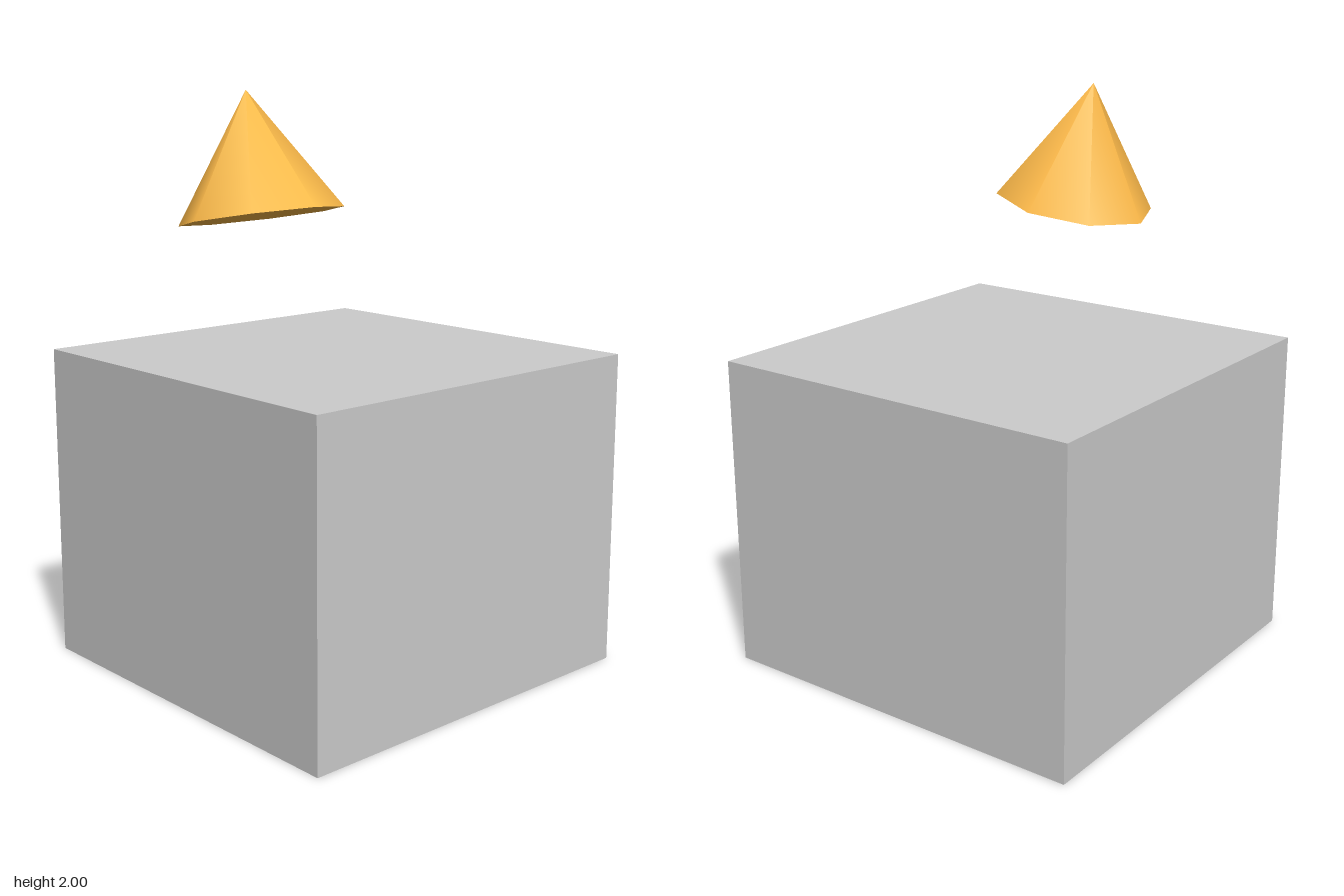
import * as THREE from 'three';

export function createModel() {
  const model = new THREE.Group();

  // Large block standing on the ground
  const block = new THREE.Mesh(
    new THREE.BoxGeometry(1.385, 1.108, 1.385),
    new THREE.MeshStandardMaterial({ color: 0xcccccc })
  );
  block.name = 'block';
  block.position.y = 0.554;
  model.add(block);

  // Eight-sided cone floating above the block, tipped towards the back
  const cone = new THREE.Mesh(
    new THREE.ConeGeometry(0.277, 0.416, 8),
    new THREE.MeshStandardMaterial({ color: 0xffbb4a })
  );
  cone.name = 'floatingCone';
  cone.position.set(-0.277, 1.795, -0.087);
  cone.rotation.x = -0.176;
  model.add(cone);

  return model;
}
